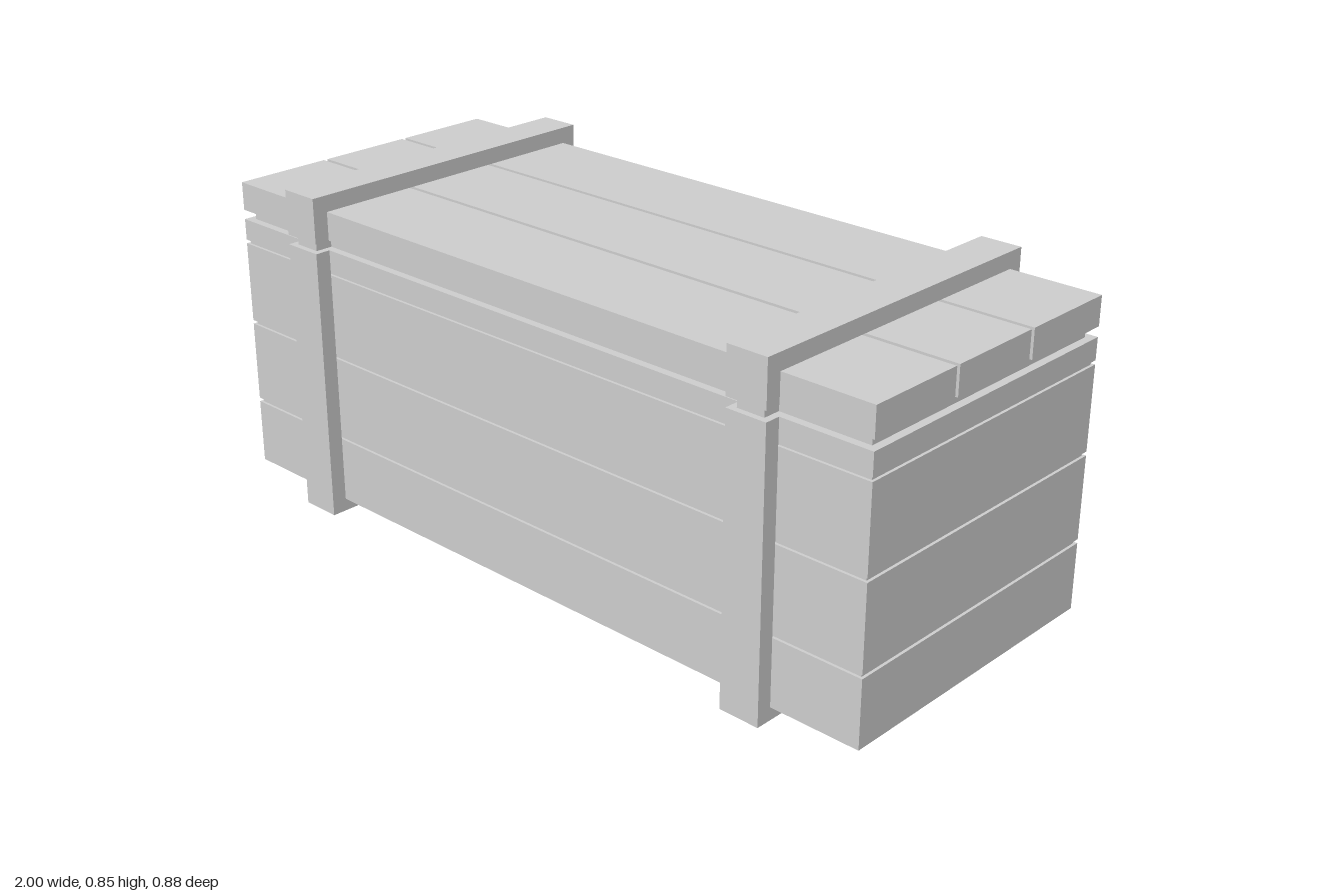
import * as THREE from 'three';

export function createModel() {
  const crate = new THREE.Group();
  crate.name = 'crate';
  const material = new THREE.MeshStandardMaterial({ color: 0xcccccc, flatShading: true });

  const add = (name, geometry, parent = crate) => {
    const mesh = new THREE.Mesh(geometry, material);
    mesh.name = name;
    parent.add(mesh);
    return mesh;
  };

  // Box given by its lower and upper bounds on each axis
  const box = (name, [x0, x1], [y0, y1], [z0, z1], parent) =>
    add(name, new THREE.BoxGeometry(x1 - x0, y1 - y0, z1 - z0), parent)
      .position.set((x0 + x1) / 2, (y0 + y1) / 2, (z0 + z1) / 2);

  const group = (name) => {
    const g = new THREE.Group();
    g.name = name;
    crate.add(g);
    return g;
  };

  const groove = 0.007; // depth of the grooves between planks

  // Body: stacked plank courses around a slightly recessed core
  const body = group('body');
  [[0.033, 0.203], [0.213, 0.424], [0.434, 0.645], [0.655, 0.71]].forEach((y, i) =>
    box(`bodyPlank${i + 1}`, [-1, 1], y, [-0.4, 0.4], body));
  box('bodyCore', [-1 + groove, 1 - groove], [0.1, 0.69], [-0.4 + groove, 0.4 - groove], body);

  // Inner lip that shows in the gap below the lid
  box('innerLip', [-0.98, 0.98], [0.69, 0.76], [-0.38, 0.38], body);

  // Lid: three planks side by side
  const lid = group('lid');
  [[-0.4, -0.139], [-0.127, 0.127], [0.139, 0.4]].forEach((z, i) =>
    box(`lidPlank${i + 1}`, [-1, 1], [0.735, 0.808], z, lid));
  box('lidCore', [-1 + groove, 1 - groove], [0.735, 0.808 - groove], [-0.2, 0.2], lid);

  // Strap: a frame around the crate, split at the front where the lid opens
  const strapShape = new THREE.Shape([
    [0.44, 0.71], [0.4, 0.71], [0.4, 0.033], [-0.4, 0.033], [-0.4, 0.808], [0.4, 0.808],
    [0.4, 0.735], [0.44, 0.735], [0.44, 0.85], [-0.44, 0.85], [-0.44, 0], [0.44, 0],
  ].map(([z, y]) => new THREE.Vector2(z, y)));
  const width = 0.107;
  const strapGeometry = new THREE.ExtrudeGeometry(strapShape, { depth: width, bevelEnabled: false })
    .translate(0, 0, -width / 2)
    .rotateY(-Math.PI / 2);

  for (const [side, x] of [['left', 0.711], ['right', -0.711]]) {
    add(`${side}Strap`, strapGeometry).position.x = x;
    // Latch and hinge blocks bridging the gap behind the strap
    box(`${side}Latch`, [x - 0.036, x + 0.036], [0.7, 0.745], [0.37, 0.425]);
    box(`${side}Hinge`, [x - 0.036, x + 0.036], [0.7, 0.745], [-0.41, -0.37]);
  }
  return crate;
}
